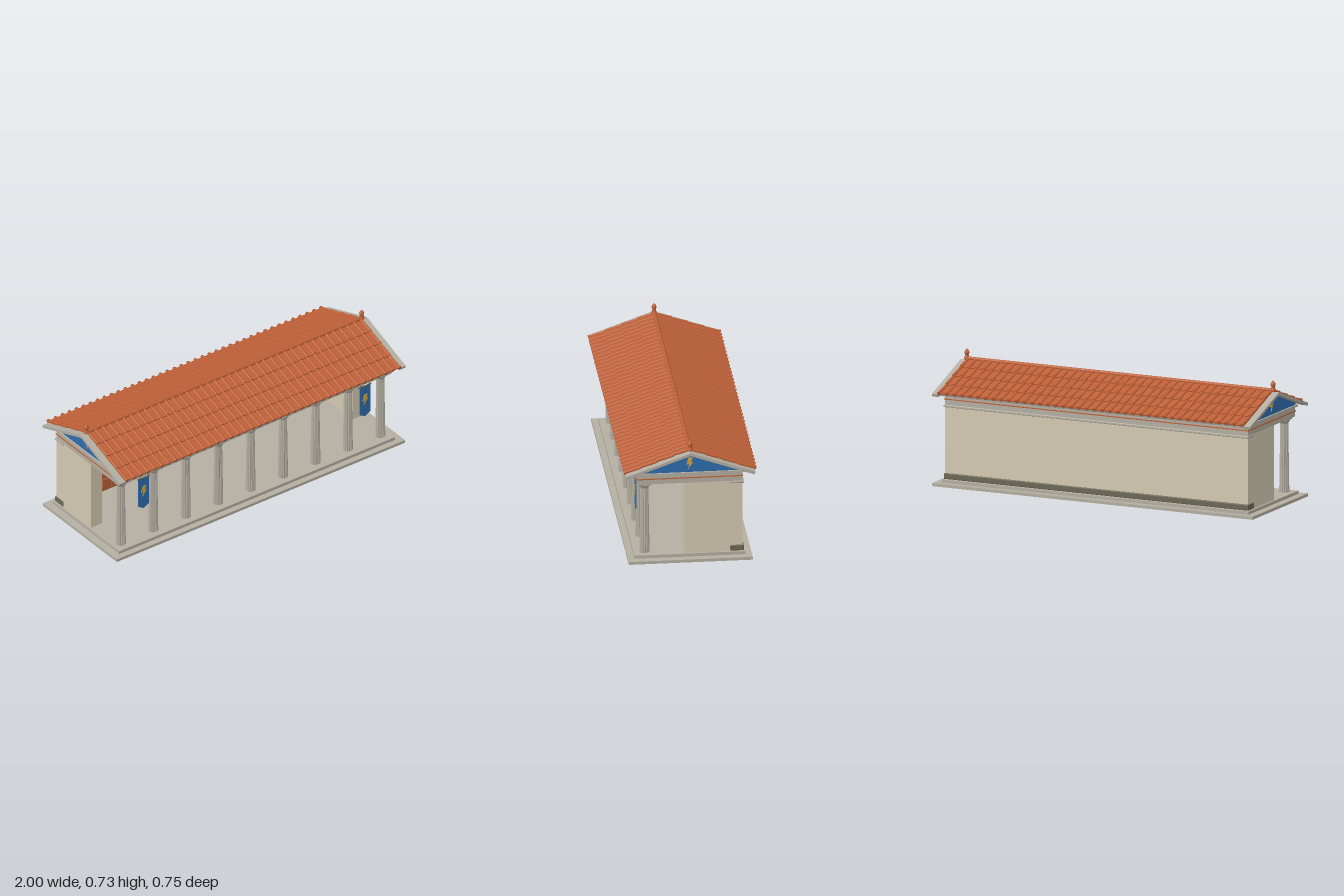
import * as THREE from 'three';
import { mergeGeometries } from 'three/addons/utils/BufferGeometryUtils.js';
import { RoundedBoxGeometry } from 'three/addons/geometries/RoundedBoxGeometry.js';

const mat = (name, color) => Object.assign(new THREE.MeshStandardMaterial({ color }), { name });

export function createModel() {
  const stone = mat('pale stone', 0xb4aea2);
  const plaster = mat('cream plaster', 0xd3c9b0);
  const plinth = mat('dark olive stone', 0x6c6755);
  const tile = mat('terracotta tile', 0xbe6038);
  const wood = mat('painted wood', 0xb9623c);
  const blue = mat('blue paint', 0x2f6cad);
  const gold = mat('gold', 0xd6a43c);
  const glass = mat('dark glass', 0x14172c);

  const model = new THREE.Group();
  const add = (name, geo, material, x = 0, y = 0, z = 0, parent = model) => {
    const mesh = new THREE.Mesh(geo, material);
    mesh.name = name;
    mesh.position.set(x, y, z);
    parent.add(mesh);
    return mesh;
  };
  // Box given by its min and max on each axis
  const box = (name, material, x0, x1, y0, y1, z0, z1, parent = model, round = 0) => {
    const s = [x1 - x0, y1 - y0, z1 - z0];
    const geo = round ? new RoundedBoxGeometry(...s, 2, round) : new THREE.BoxGeometry(...s);
    return add(name, geo, material, (x0 + x1) / 2, (y0 + y1) / 2, (z0 + z1) / 2, parent);
  };
  const plate = (points, depth) => new THREE.ExtrudeGeometry(
    new THREE.Shape(points.map(p => new THREE.Vector2(...p))), { depth, bevelEnabled: false });
  const boltGeo = plate([[-0.008, 0.035], [0.017, 0.035], [0.006, 0.008], [0.019, 0.008],
    [-0.011, -0.035], [-0.002, -0.005], [-0.019, -0.005]], 0.004);

  // Stepped base
  box('lowerStep', stone, -1, 1, 0, 0.017, -0.348, 0.348);
  box('upperStep', stone, -0.957, 0.957, 0.017, 0.035, -0.312, 0.312);

  // Walls: a back wall and two end walls around the open porch
  box('backWall', plaster, -0.94, 0.94, 0.035, 0.462, -0.295, -0.235);
  for (const s of [-1, 1]) {
    const wall = box('endWall', plaster, -0.0375, 0.0375, 0.035, 0.462, -0.295, 0.03);
    wall.position.x = s * 0.9075;
  }
  box('wallPlinth', plinth, -0.95, 0.95, 0.037, 0.071, -0.303, -0.227, model, 0.005);
  box('wallTopTrim', stone, -0.95, 0.95, 0.448, 0.462, -0.305, -0.225, model, 0.004);

  // Fluted columns
  const shaft = new THREE.CylinderGeometry(0.0225, 0.0285, 0.402, 32, 1, true);
  const p = shaft.attributes.position;
  for (let i = 0; i < p.count; i++) {
    const k = (i % 33) % 2 ? 0.88 : 1;
    p.setX(i, p.getX(i) * k);
    p.setZ(i, p.getZ(i) * k);
  }
  const shaftGeo = shaft.toNonIndexed();
  shaftGeo.computeVertexNormals();
  const capitalGeo = new THREE.LatheGeometry([[0.022, 0], [0.024, 0.003], [0.024, 0.006], [0.031, 0.013],
    [0.035, 0.021], [0.033, 0.026]].map(q => new THREE.Vector2(...q)), 24);
  for (let i = 0; i < 9; i++) {
    const column = new THREE.Group();
    column.name = 'column';
    column.position.set(-0.9 + i * 0.225, 0, 0.25);
    model.add(column);
    add('shaft', shaftGeo, stone, 0, 0.236, 0, column);
    add('capital', capitalGeo, stone, 0, 0.427, 0, column);
    box('abacus', stone, -0.036, 0.036, 0.45, 0.462, -0.036, 0.036, column, 0.003);
  }

  // Entablature, painted band and frieze squares
  box('architrave', stone, -0.945, 0.945, 0.462, 0.518, -0.296, 0.296);
  box('paintedBand', tile, -0.948, 0.948, 0.49, 0.496, -0.299, 0.299);
  box('cornice', stone, -0.955, 0.955, 0.517, 0.528, -0.31, 0.31);
  for (let i = 0; i < 17; i++) {
    const x = -0.9 + i * 0.1125;
    box('friezeSquare', blue, x - 0.013, x + 0.013, 0.499, 0.516, 0.294, 0.3);
  }

  // Gable ends
  const gable = [[-0.3, 0.527], [0.3, 0.527], [0.3, 0.54], [0, 0.648], [-0.3, 0.54]];
  const core = add('gableCore', plate(gable, 1.88), stone, -0.94, 0, 0);
  core.rotation.y = Math.PI / 2;
  for (const s of [-1, 1]) {
    const face = add('gableFace', plate(gable, 0.006), blue, s * 0.94, 0, 0);
    const bolt = add('gableBolt', boltGeo, gold, s * 0.945, 0.58, 0);
    face.rotation.y = bolt.rotation.y = s * Math.PI / 2;
  }

  // Roof slopes: stone deck, raking edges, four overlapping rows of tiles
  const pitch = Math.atan2(0.13, 0.363), row = 0.0965, ridges = 40;
  for (const s of [0, 1]) {
    const turn = new THREE.Group(), slope = new THREE.Group();
    turn.name = s ? 'backRoof' : 'frontRoof';
    turn.rotation.y = s * Math.PI;
    slope.rotation.x = pitch;
    slope.position.y = 0.66;
    turn.add(slope);
    model.add(turn);
    box('roofDeck', stone, -0.95, 0.95, -0.012, 0, 0, 0.378, slope);
    for (const e of [-1, 1]) {
      const rake = box('rakingEdge', stone, -0.02, 0.02, -0.015, 0.001, 0, 0.387, slope);
      rake.position.x = e * 0.972;
    }
    const pans = [], caps = [], ends = [];
    for (let r = 0; r < 4; r++) {
      const place = g => g.rotateX(-0.06).translate(0, 0.005, (r + 0.5) * row);
      pans.push(place(new THREE.BoxGeometry(1.905, 0.007, row + 0.004)));
      for (let i = 0; i < ridges; i++) {
        const x = -0.945 + i * 1.89 / (ridges - 1);
        caps.push(place(new THREE.CylinderGeometry(0.009, 0.009, row + 0.004, 10)
          .rotateX(Math.PI / 2).translate(x, 0.003, 0)));
        if (r === 0) ends.push(new THREE.CylinderGeometry(0.011, 0.011, 0.008, 12)
          .rotateX(Math.PI / 2).translate(x, 0.011, 0.387));
      }
    }
    add('tilePans', mergeGeometries(pans), tile, 0, 0, 0, slope);
    add('tileRidges', mergeGeometries(caps), tile, 0, 0, 0, slope);
    add('eaveCaps', mergeGeometries(ends), tile, 0, 0, 0, slope);
  }
  add('ridgeTile', new THREE.CylinderGeometry(0.011, 0.011, 1.93, 12).rotateZ(Math.PI / 2), tile, 0, 0.668, 0);

  // Finials at both ends of the ridge
  const finialGeo = new THREE.LatheGeometry([[0.016, 0], [0.016, 0.008], [0.011, 0.013], [0.012, 0.018],
    [0.009, 0.022], [0.014, 0.033], [0.014, 0.04], [0.007, 0.053], [0, 0.06]]
    .map(q => new THREE.Vector2(...q)), 16);
  for (const s of [-1, 1]) add('finial', finialGeo, tile, s * 0.955, 0.665, 0);

  // Double doors
  for (const x of [-0.615, 0, 0.615]) {
    const door = new THREE.Group();
    door.name = 'door';
    door.position.set(x, 0, -0.235);
    model.add(door);
    box('lintel', stone, -0.107, 0.107, 0.312, 0.333, 0, 0.028, door, 0.004);
    for (const s of [-1, 1]) {
      const jamb = box('jamb', stone, -0.0125, 0.0125, 0.035, 0.312, 0, 0.02, door);
      jamb.position.x = s * 0.0925;
      const leaf = box('leaf', wood, -0.039, 0.039, 0.035, 0.312, 0, 0.012, door);
      leaf.position.x = s * 0.0405;
      for (const y of [0.085, 0.175, 0.262]) {
        box('panel', wood, s * 0.042 - 0.024, s * 0.042 + 0.024, y - 0.03, y + 0.03, 0.01, 0.018, door, 0.003);
      }
      add('knob', new THREE.SphereGeometry(0.006, 12, 8), plinth, s * 0.01, 0.17, 0.017, door);
    }
  }

  // Windows with shutters
  for (const x of [-0.308, 0.308]) {
    const win = new THREE.Group();
    win.name = 'window';
    win.position.set(x, 0.238, -0.235);
    model.add(win);
    box('pane', glass, -0.06, 0.06, -0.062, 0.062, 0, 0.006, win);
    box('mullion', stone, -0.003, 0.003, -0.06, 0.06, 0.004, 0.012, win);
    box('glazingBar', stone, -0.06, 0.06, -0.003, 0.003, 0.004, 0.012, win);
    for (const s of [-1, 1]) {
      const side = box('frameSide', stone, -0.006, 0.006, -0.065, 0.065, 0, 0.018, win);
      side.position.x = s * 0.062;
      const rail = box('frameRail', stone, -0.072, 0.072, -0.006, 0.006, 0, 0.02, win);
      rail.position.y = s * 0.066;
      const shutter = box('shutter', wood, -0.026, 0.026, -0.06, 0.06, 0, 0.012, win);
      shutter.position.x = s * 0.094;
    }
  }

  // Hanging banners
  const clothGeo = plate([[-0.037, 0.443], [-0.037, 0.26], [0, 0.238], [0.037, 0.26], [0.037, 0.443]], 0.003);
  for (const x of [-0.768, 0.768]) {
    add('bannerCloth', clothGeo, blue, x, 0, 0.284);
    add('bannerBolt', boltGeo, gold, x, 0.352, 0.286);
    add('bannerRod', new THREE.CylinderGeometry(0.004, 0.004, 0.086, 10).rotateZ(Math.PI / 2), plinth, x, 0.443, 0.2855);
    for (const s of [-1, 1]) box('bannerHook', plinth, x + s * 0.03 - 0.002, x + s * 0.03 + 0.002, 0.443, 0.466, 0.284, 0.288);
  }
  return model;
}
